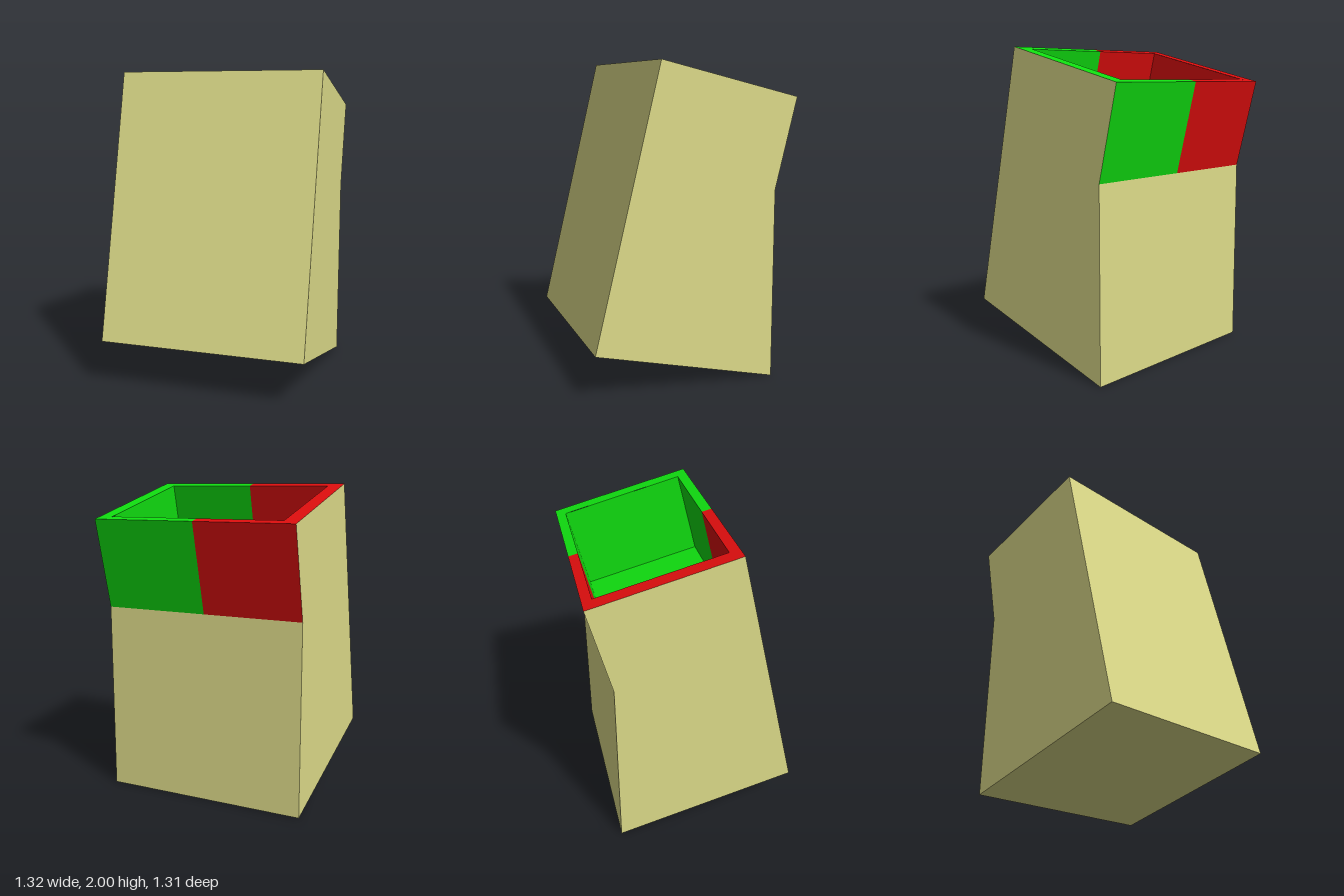
import * as THREE from 'three';

const HALF = 0.662, INNER = 0.57, SPLIT = -0.02;

// Side profile corners as [z, y]
const rimFront = [0.24, 2], footFront = [0.655, 0.287], heel = [-0.52, 0];
const kink = [-0.515, 1.215], rimBack = [-0.653, 1.786];
// Cavity corners, sunk parallel to the leaning front
const holeFront = [0.178, 1.985], floorFront = [0.308, 1.445];
const floorBack = [-0.463, 1.26], holeBack = [-0.593, 1.8];

function material(name, color) {
  const m = new THREE.MeshStandardMaterial({ color });
  m.name = name;
  return m;
}

// Sweeps a profile along x, each segment a flat face of its own
function sweep(profile, x0, x1) {
  const pos = [];
  for (let i = 0; i + 1 < profile.length; i++) {
    const [az, ay] = profile[i], [bz, by] = profile[i + 1];
    pos.push(x0, ay, az, x0, by, bz, x1, by, bz);
    pos.push(x0, ay, az, x1, by, bz, x1, ay, az);
  }
  const g = new THREE.BufferGeometry();
  g.setAttribute('position', new THREE.Float32BufferAttribute(pos, 3));
  g.computeVertexNormals();
  return g;
}

// Flat side panel at x, facing +x (dir = 1) or -x (dir = -1)
function sidePanel(profile, x, dir) {
  const shape = new THREE.Shape(profile.map(([z, y]) => new THREE.Vector2(-dir * z, y)));
  return new THREE.ShapeGeometry(shape).rotateY(dir * Math.PI / 2).translate(x, 0, 0);
}

export function createModel() {
  const group = new THREE.Group();
  const sand = material('sand', 0xdedc8a);
  const red = material('red', 0xde0e0e);
  const green = material('green', 0x10de10);

  const add = (name, geometry, mat) => {
    const mesh = new THREE.Mesh(geometry, mat);
    mesh.name = name;
    group.add(mesh);
  };

  // Leaning body: front, underside and lower back
  add('bodyShell', sweep([rimFront, footFront, heel, kink], -HALF, HALF), sand);

  const outline = [rimFront, footFront, heel, kink, rimBack];
  const hole = [holeFront, floorFront, floorBack, holeBack];
  const pocket = [kink, rimBack, holeBack, floorBack, floorFront, holeFront, rimFront];

  // Upper back, rim and pocket, in two coloured halves
  const halves = [
    { name: 'right', dir: -1, mat: red },
    { name: 'left', dir: 1, mat: green },
  ];
  for (const { name, dir, mat } of halves) {
    const inner = dir * INNER, outer = dir * HALF;
    add(name + 'Side', sidePanel(outline, outer, dir), sand);
    add(name + 'Pocket', sweep(pocket, Math.min(SPLIT, inner), Math.max(SPLIT, inner)), mat);
    add(name + 'Rim', sweep([kink, rimBack, rimFront], Math.min(inner, outer), Math.max(inner, outer)), mat);
    add(name + 'PocketWall', sidePanel(hole, inner, -dir), mat);
  }
  return group;
}
